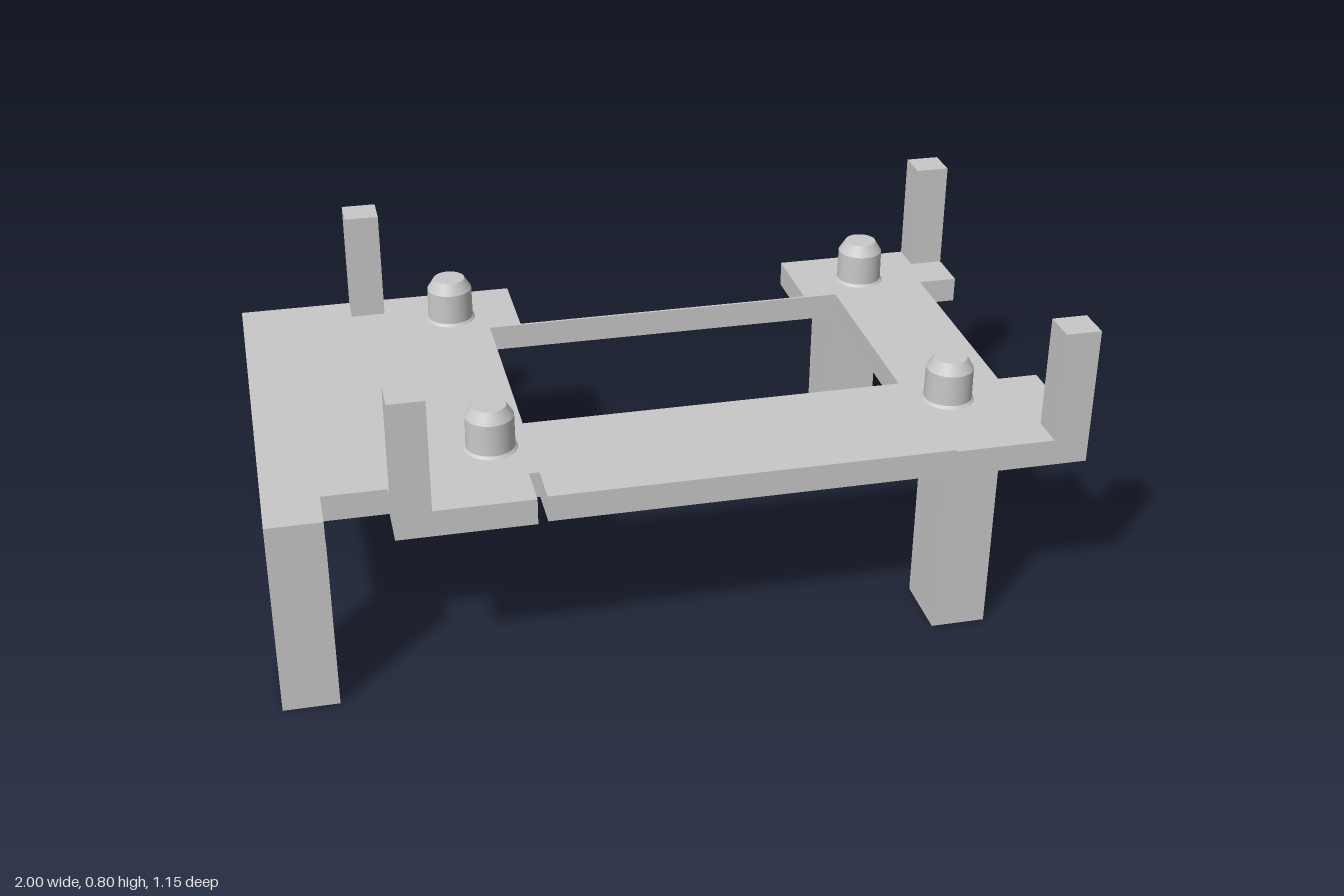
import * as THREE from 'three';

export function createModel() {
  const model = new THREE.Group();
  model.name = 'mountingFrame';
  const grey = new THREE.MeshStandardMaterial({ color: 0xc8c8c8 });
  grey.name = 'plainGrey';

  const add = (name, geometry) => {
    const mesh = new THREE.Mesh(geometry, grey);
    mesh.name = name;
    model.add(mesh);
    return mesh;
  };
  // Box given by its limits on each axis
  const block = (name, x0, x1, y0, y1, z0, z1) =>
    add(name, new THREE.BoxGeometry(x1 - x0, y1 - y0, z1 - z0))
      .position.set((x0 + x1) / 2, (y0 + y1) / 2, (z0 + z1) / 2);

  const bottom = 0.445, top = 0.513, edge = 0.573;
  const points = (list) => list.map(([x, z]) => new THREE.Vector2(x, -z));

  // Notched plate with a large window and a thin rear bridge
  const outline = new THREE.Shape(points([
    [-1, -edge], [-0.26, -edge], [-0.26, -0.342], [0.545, -0.342], [0.545, -edge],
    [1, -edge], [1, -0.361], [0.895, -0.361], [0.895, 0.24], [1, 0.24],
    [1, edge], [0.66, edge], [0.66, 0.566], [-0.345, 0.566], [-0.345, 0.453],
    [-0.37, 0.453], [-0.37, edge], [-0.705, edge], [-0.705, 0.453],
    [-0.863, 0.453], [-0.863, 0.567], [-1, 0.567],
  ]));
  // The window runs opposite to the outline so its walls face inwards
  outline.holes.push(new THREE.Path(points([
    [-0.345, 0.209], [0.635, 0.209], [0.635, -0.335], [-0.345, -0.335],
  ])));
  const plate = new THREE.ExtrudeGeometry(outline, { depth: top - bottom, bevelEnabled: false });
  plate.rotateX(-Math.PI / 2);
  add('plate', plate).position.y = bottom;

  // Legs
  for (const [side, x] of [['Right', -1], ['Left', 0.635]]) {
    block('front' + side + 'Leg', x, x + 0.138, 0, bottom, 0.394, 0.567);
    block('back' + side + 'Leg', x, x + 0.138, 0, bottom, -0.537, -0.364);
  }

  // Upright corner posts
  for (const [side, x] of [['Right', -0.705], ['Left', 0.911]]) {
    block('front' + side + 'Post', x, x + 0.089, top, 0.802, edge - 0.089, edge);
    block('back' + side + 'Post', x, x + 0.089, top, 0.802, -edge, 0.089 - edge);
  }

  // Chamfered pegs with a small flared foot; each profile section keeps its own crisp edge
  const profile = [[0.067, 0], [0.061, 0.007], [0.06, 0.088], [0.042, 0.117], [0, 0.117]];
  for (const x of [-0.44, 0.732]) {
    for (const z of [-0.427, 0.306]) {
      const peg = new THREE.Group();
      peg.name = 'peg';
      for (let i = 0; i < profile.length - 1; i++) {
        const section = [profile[i], profile[i + 1]].map(([r, y]) => new THREE.Vector2(r, y));
        const mesh = new THREE.Mesh(new THREE.LatheGeometry(section, 32), grey);
        mesh.name = 'pegSection';
        peg.add(mesh);
      }
      peg.position.set(x, top, z);
      model.add(peg);
    }
  }
  return model;
}
